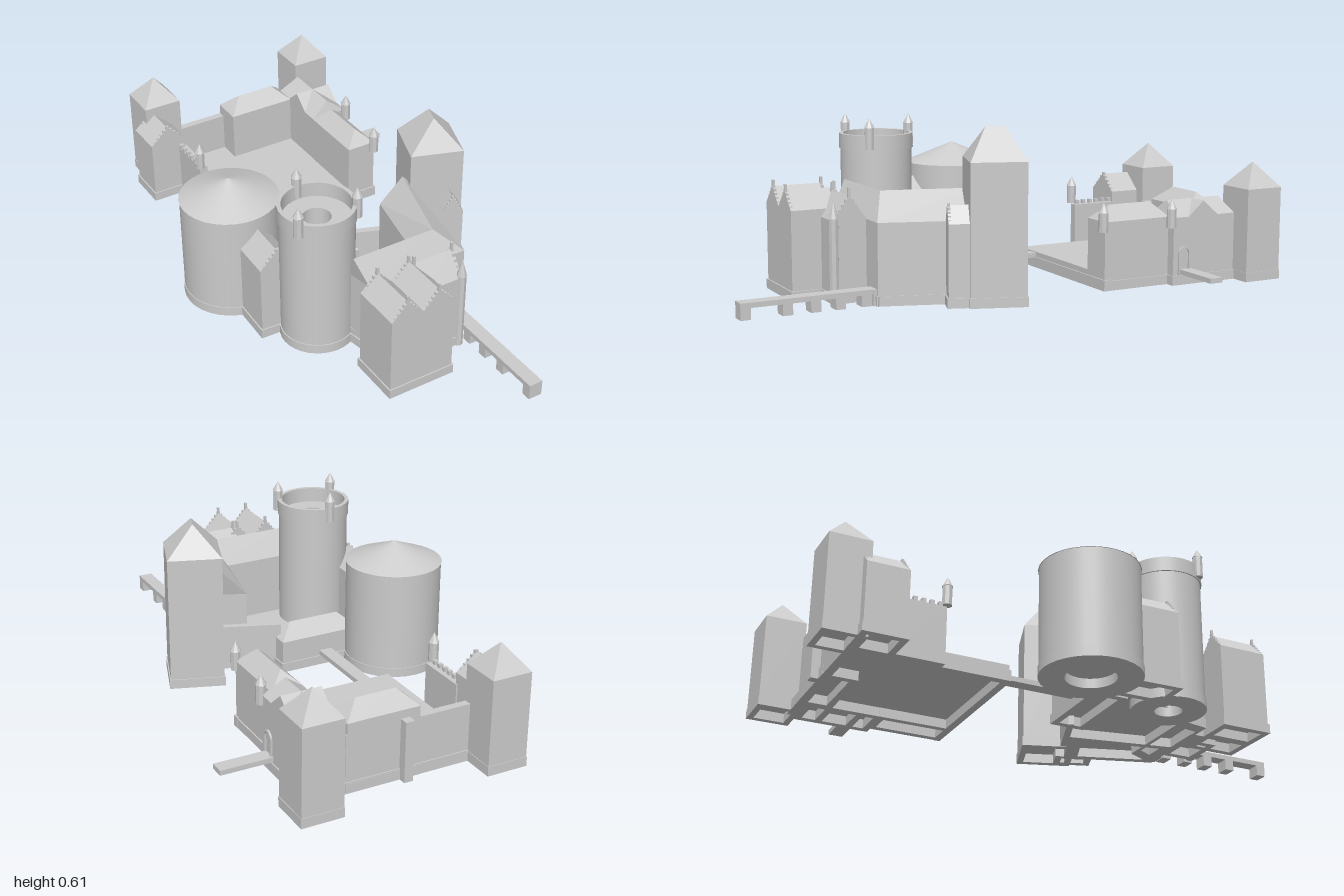
import * as THREE from 'three';

const mat = new THREE.MeshStandardMaterial({ color: 0xcccccc, side: THREE.DoubleSide, flatShading: true });
const smooth = new THREE.MeshStandardMaterial({ color: 0xcccccc, side: THREE.DoubleSide });

// Solid from stacked convex outlines: [[y, [[x, z], ...]], ...], counter-clockwise from above
function loft(rings) {
  const v = [];
  const put = (y, p) => v.push(p[0], y, p[1]);
  for (let k = 0; k + 1 < rings.length; k++) {
    const [y0, a] = rings[k], [y1, b] = rings[k + 1];
    a.forEach((p, i) => {
      const j = (i + 1) % a.length;
      put(y0, p); put(y0, a[j]); put(y1, b[j]);
      put(y0, p); put(y1, b[j]); put(y1, b[i]);
    });
  }
  const [yb, bot] = rings[0], [yt, top] = rings[rings.length - 1];
  for (let i = 1; i + 1 < bot.length; i++) {
    put(yb, bot[0]); put(yb, bot[i + 1]); put(yb, bot[i]);
    put(yt, top[0]); put(yt, top[i]); put(yt, top[i + 1]);
  }
  const g = new THREE.BufferGeometry();
  g.setAttribute('position', new THREE.Float32BufferAttribute(v, 3));
  g.computeVertexNormals();
  return g;
}

const rect = (w, d) => [[-w / 2, d / 2], [w / 2, d / 2], [w / 2, -d / 2], [-w / 2, -d / 2]];

export function createModel() {
  const root = new THREE.Group();

  const add = (name, geo, x = 0, y = 0, z = 0, rot = 0, m = mat, parent = root) => {
    const mesh = new THREE.Mesh(geo, m);
    mesh.name = name;
    mesh.position.set(x, y, z);
    mesh.rotation.y = rot;
    parent.add(mesh);
  };
  // Box given by its bounds
  const box = (name, x0, x1, y0, y1, z0, z1) =>
    add(name, new THREE.BoxGeometry(x1 - x0, y1 - y0, z1 - z0), (x0 + x1) / 2, (y0 + y1) / 2, (z0 + z1) / 2);

  // Stepped gable wall, in the local xy plane
  function steppedGable(w, eave, ridge, steps = 5) {
    const s = new THREE.Shape();
    const h = (ridge - eave + 0.006) / steps, run = w / 2 / (steps + 0.5);
    s.moveTo(-w / 2, 0);
    for (let i = 0; i <= steps; i++) {
      s.lineTo(-w / 2 + i * run, eave + i * h);
      s.lineTo(-w / 2 + (i + 1) * run, eave + i * h);
    }
    for (let i = steps; i >= 0; i--) {
      s.lineTo(w / 2 - (i + 1) * run, eave + i * h);
      s.lineTo(w / 2 - i * run, eave + i * h);
    }
    s.lineTo(w / 2, 0);
    return new THREE.ExtrudeGeometry(s, { depth: 0.01, bevelEnabled: false });
  }

  // House with its ridge along local x; hip shortens the ridge at each end, the base is recessed underneath
  function house(name, x, z, w, d, eave, ridge, { rot = 0, hip = 0, stepped = false, pinnacle = 0, plinth = 0.005 } = {}) {
    const g = new THREE.Group();
    g.name = name;
    g.position.set(x, 0, z);
    g.rotation.y = rot;
    const r = w / 2 - hip;
    const foot = rect(w + 2 * plinth, d + 2 * plinth), hollow = rect(w - 0.04, d - 0.04);
    add('walls', loft([
      [0.035, hollow], [0, hollow], [0, foot], [0.035, foot],
      [0.035, rect(w, d)], [eave, rect(w, d)],
      [ridge, [[-r, 0], [r, 0], [r, 0], [-r, 0]]],
    ]), 0, 0, 0, 0, mat, g);
    if (stepped) {
      for (const side of [-1, 1]) {
        const gx = side * (w / 2 - 0.005);
        add('steppedGable', steppedGable(d, eave, ridge), gx - 0.005, 0, 0, Math.PI / 2, mat, g);
        if (pinnacle) add('pinnacle', new THREE.BoxGeometry(0.009, pinnacle, 0.009), gx, ridge + pinnacle / 2, 0, 0, mat, g);
      }
    }
    root.add(g);
  }

  // Small octagonal turret with a pointed cap
  function turret(x, z, y0, y1, y2, r = 0.018) {
    const g = new THREE.Group();
    g.name = 'turret';
    g.position.set(x, 0, z);
    add('shaft', new THREE.CylinderGeometry(r, r, y1 - y0, 8), 0, (y0 + y1) / 2, 0, 0, mat, g);
    add('cap', new THREE.ConeGeometry(r * 1.1, y2 - y1, 8), 0, (y1 + y2) / 2, 0, 0, mat, g);
    root.add(g);
  }

  // Turned part; each pair of profile points is its own band so edges stay sharp
  function turned(name, x, z, profile) {
    const g = new THREE.Group();
    g.name = name;
    g.position.set(x, 0, z);
    const pts = profile.map(p => new THREE.Vector2(...p));
    for (let i = 0; i + 1 < pts.length; i++) {
      add('band', new THREE.LatheGeometry([pts[i], pts[i + 1]], 32), 0, 0, 0, 0, smooth, g);
    }
    root.add(g);
  }

  // Round towers, recessed underneath
  turned('wideRoundTower', -0.408, -0.072, [
    [0, 0.035], [0.09, 0.035], [0.09, 0], [0.18, 0], [0.18, 0.035], [0.177, 0.035], [0.177, 0.402], [0.18, 0.402], [0, 0.477]]);
  turned('tallRoundTower', -0.272, 0.31, [
    [0.05, 0.49], [0.05, 0], [0.136, 0], [0.136, 0.035], [0.132, 0.035], [0.132, 0.49], [0.137, 0.49],
    [0.137, 0.545], [0.122, 0.545], [0.122, 0.49], [0.05, 0.49]]);
  for (const [x, z] of [[-0.388, 0.385], [-0.158, 0.385], [-0.273, 0.177]]) turret(x, z, 0.495, 0.575, 0.61);

  // Front castle courtyard floor
  const yard = [[-0.2, 0.46], [0.1, 0.46], [0.16, 0.15], [0.02, 0.09], [-0.28, 0.12]];
  add('frontCourtyard', loft([[0.035, yard], [0.06, yard]]));

  // Hall wings around the courtyard: gabled roofs, hipped where they meet
  const wing = (name, plan, ridge) => {
    const cx = plan.reduce((s, p) => s + p[0], 0) / 4, cz = plan.reduce((s, p) => s + p[1], 0) / 4;
    const scaled = k => plan.map(([x, z]) => [cx + (x - cx) * k, cz + (z - cz) * k]);
    add(name, loft([[0.035, scaled(0.75)], [0, scaled(0.75)], [0, scaled(1.03)], [0.035, scaled(1.03)],
      [0.035, plan], [0.29, plan], [0.385, ridge]]));
  };
  wing('eastHall', [[0.03, 0.515], [0.205, 0.515], [0.31, 0.2], [0.11, 0.12]],
    [[0.105, 0.46], [0.105, 0.46], [0.2, 0.13], [0.2, 0.13]]);
  wing('southHall', [[-0.19, 0.515], [0.205, 0.515], [0.15, 0.405], [-0.21, 0.405]],
    [[-0.22, 0.46], [0.105, 0.46], [0.105, 0.46], [-0.22, 0.46]]);
  add('courtyardWall', new THREE.BoxGeometry(0.22, 0.17, 0.025), 0.1, 0.085, 0.1, -0.36);

  // Square keep tower, turned with the hall's east wall
  const turn = -0.335;
  house('keepTower', 0.322, 0.125, 0.197, 0.197, 0.5, 0.612, { rot: turn + Math.PI / 2, hip: 0.065, plinth: 0.004 });
  house('keepAnnex', 0.328, 0.24, 0.13, 0.08, 0.29, 0.35, { rot: turn + Math.PI / 2, stepped: true });

  // Hall extensions
  house('northRange', -0.14, 0.06, 0.32, 0.125, 0.12, 0.17, { hip: 0.06 });
  house('westAnnex', -0.392, 0.145, 0.21, 0.135, 0.29, 0.355, { rot: Math.PI / 2 - 0.03, stepped: true });
  for (const x of [-0.191, -0.066]) {
    house('twinGableHouse', x, 0.653, 0.19, 0.125, 0.318, 0.382, { rot: Math.PI / 2, stepped: true, pinnacle: 0.022 });
  }
  box('twinHouseLink', -0.12, 0, 0, 0.29, 0.5, 0.58);
  house('porch', 0.025, 0.575, 0.165, 0.125, 0.29, 0.375, { stepped: true, pinnacle: 0.028 });
  turret(0.107, 0.635, 0, 0.3, 0.365, 0.017);
  box('frontDoor', 0.138, 0.196, 0, 0.057, 0.51, 0.528);

  // Front bridge on piers
  box('frontBridgeDeck', 0.138, 0.19, 0.04, 0.058, 0.5, 1);
  for (const z of [0.55, 0.645, 0.735, 0.835, 0.982]) box('bridgePier', 0.138, 0.19, 0, 0.045, z - 0.018, z + 0.018);

  // Bridges between the two castles and to the east gate
  box('middleBridge', -0.185, -0.135, 0.038, 0.056, -0.31, 0.02);
  box('eastBridge', 0.39, 0.585, 0.04, 0.058, -0.655, -0.602);

  // Rear castle courtyard and curtain walls, on an open plinth frame
  box('southPlinth', -0.26, 0.365, 0, 0.04, -0.325, -0.297);
  box('northPlinth', -0.26, 0.365, 0, 0.04, -0.882, -0.85);
  box('westPlinth', -0.26, -0.23, 0, 0.04, -0.85, -0.325);
  box('courtyardFloor', -0.255, 0.25, 0.035, 0.06, -0.875, -0.302);
  box('northCurtainWall', -0.255, 0.25, 0.03, 0.21, -0.878, -0.85);
  box('westCurtainWall', -0.288, -0.255, 0, 0.21, -0.74, -0.55);
  for (let i = 0; i < 6; i++) box('merlon', -0.288, -0.272, 0.21, 0.225, -0.73 + i * 0.03, -0.715 + i * 0.03);
  box('buttress', 0.015, 0.048, 0, 0.22, -0.91, -0.87);

  // Rear castle ranges
  house('northLodging', 0.11, -0.82, 0.27, 0.116, 0.25, 0.303, { hip: 0.06 });
  house('eastRange', 0.3, -0.44, 0.275, 0.116, 0.25, 0.303, { rot: Math.PI / 2, hip: 0.05 });
  house('gatehouse', 0.318, -0.71, 0.27, 0.15, 0.25, 0.305, { rot: Math.PI / 2, hip: 0.02 });
  house('gatehouseCrossWing', 0.318, -0.705, 0.15, 0.13, 0.25, 0.305);
  house('westLodging', -0.333, -0.803, 0.15, 0.145, 0.25, 0.315, { rot: Math.PI / 2, stepped: true });
  for (const x of [-0.293, 0.396]) {
    house('cornerTower', x, -0.923, 0.15, 0.15, 0.345, 0.437, { hip: 0.075, plinth: 0.002 });
  }
  for (const [x, z] of [[0.355, -0.297], [0.392, -0.565], [-0.285, -0.55]]) turret(x, z, 0.215, 0.285, 0.322);

  // Arched gate frame on the east side
  const arch = new THREE.Shape();
  arch.moveTo(-0.026, 0).lineTo(-0.026, 0.082);
  arch.absarc(0, 0.082, 0.026, Math.PI, 0, true);
  arch.lineTo(0.026, 0).lineTo(0.018, 0).lineTo(0.018, 0.082);
  arch.absarc(0, 0.082, 0.018, 0, Math.PI, false);
  arch.lineTo(-0.018, 0);
  add('gateArch', new THREE.ExtrudeGeometry(arch, { depth: 0.012, bevelEnabled: false }), 0.388, 0.035, -0.622, Math.PI / 2);

  return root;
}
